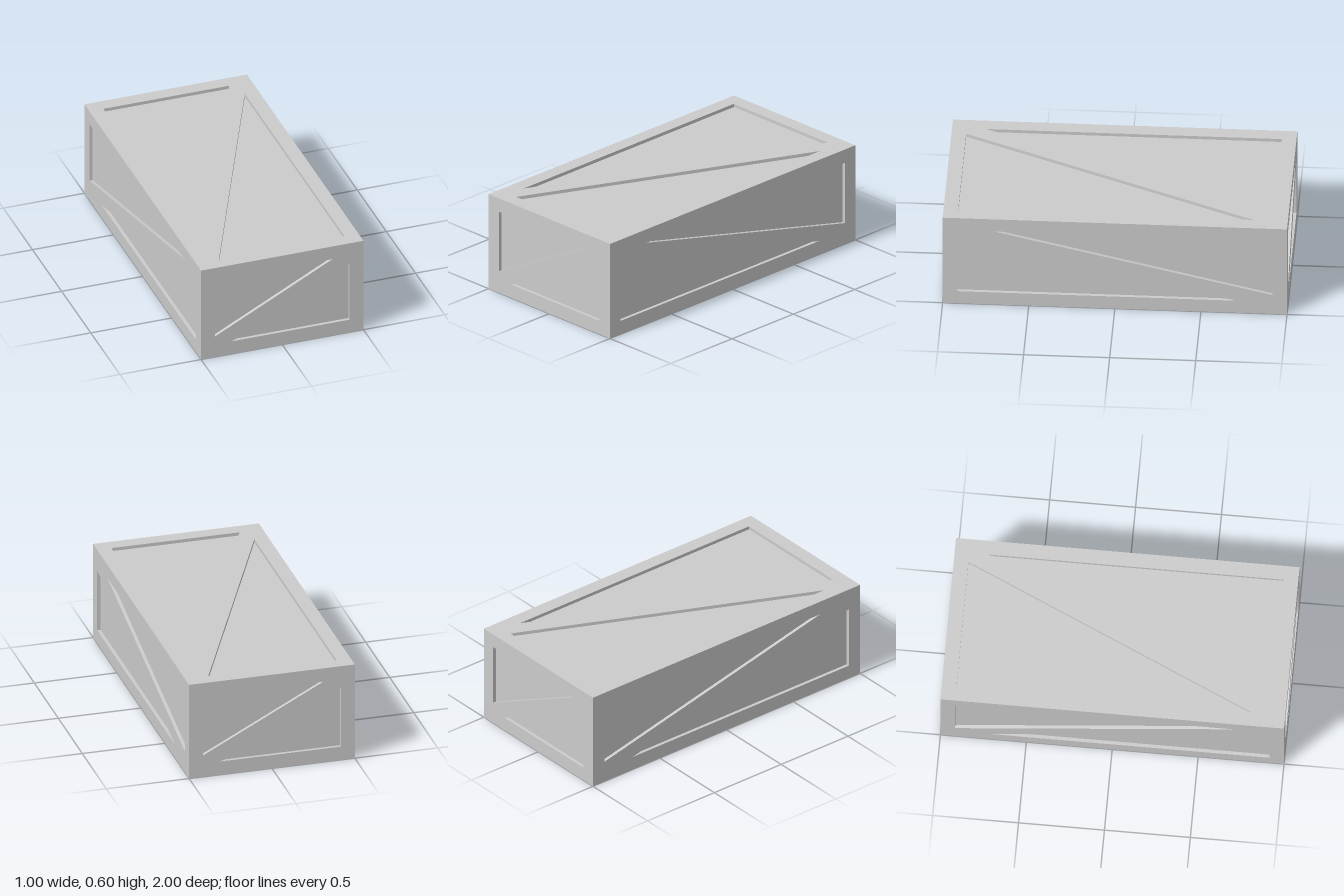
import * as THREE from 'three';
import { mergeGeometries } from 'three/addons/utils/BufferGeometryUtils.js';

const DEPTH = 0.02; // how far the triangular panels are sunk
const material = new THREE.MeshStandardMaterial({ color: 0xcccccc });

// Inward-facing walls around a counter-clockwise pocket outline
function pocketWalls(pts) {
  const pos = [];
  pts.forEach((p, i) => {
    const q = pts[(i + 1) % pts.length];
    pos.push(p.x, p.y, 0, q.x, q.y, 0, q.x, q.y, -DEPTH);
    pos.push(p.x, p.y, 0, q.x, q.y, -DEPTH, p.x, p.y, -DEPTH);
  });
  const g = new THREE.BufferGeometry();
  g.setAttribute('position', new THREE.Float32BufferAttribute(pos, 3));
  g.computeVertexNormals();
  return g;
}

// One face in its own plane: flat frame with a diagonal brace and two sunk triangles.
// a, b: pocket corner; c, e: where the triangle's long edge meets the border
function braced({ w, h, a, b, c, e, flip }) {
  const s = flip ? -1 : 1;
  const frame = new THREE.Shape([[-w, -h], [w, -h], [w, h], [-w, h]].map(([x, y]) => new THREE.Vector2(x, y)));
  const parts = [];
  for (const k of [1, -1]) {
    const pts = [[-a, b], [c, b], [-a, -e]].map(([x, y]) => new THREE.Vector2(x * k * s, y * k));
    if (THREE.ShapeUtils.isClockWise(pts)) pts.reverse();
    frame.holes.push(new THREE.Path(pts));
    const floor = new THREE.ShapeGeometry(new THREE.Shape(pts)).translate(0, 0, -DEPTH);
    floor.deleteAttribute('uv');
    parts.push(floor.toNonIndexed(), pocketWalls(pts));
  }
  const front = new THREE.ShapeGeometry(frame);
  front.deleteAttribute('uv');
  parts.push(front.toNonIndexed());
  return mergeGeometries(parts);
}

export function createModel() {
  const group = new THREE.Group();
  group.name = 'bracedCrate';
  const end = { w: 0.5, h: 0.3, a: 0.415, b: 0.215, c: 0.31, e: 0.162 };
  const side = { w: 1, h: 0.3, a: 0.915, b: 0.215, c: 0.705, e: 0.167 };
  const lid = { w: 0.5, h: 1, a: 0.415, b: 0.915, c: 0.36, e: 0.8 };
  const Q = Math.PI / 2;

  // name, face layout, mirrored brace, position, rotation
  const faces = [
    ['frontPanel', end, false, [0, 0.3, 1], [0, 0, 0]],
    ['backPanel', end, false, [0, 0.3, -1], [0, 2 * Q, 0]],
    ['leftPanel', side, true, [0.5, 0.3, 0], [0, Q, 0]],
    ['rightPanel', side, false, [-0.5, 0.3, 0], [0, -Q, 0]],
    ['topPanel', lid, false, [0, 0.6, 0], [-Q, 0, 0]],
    ['bottomPanel', lid, true, [0, 0, 0], [Q, 0, 0]],
  ];
  for (const [name, layout, flip, position, rotation] of faces) {
    const mesh = new THREE.Mesh(braced({ ...layout, flip }), material);
    mesh.name = name;
    mesh.position.set(...position);
    mesh.rotation.set(...rotation);
    group.add(mesh);
  }
  return group;
}
